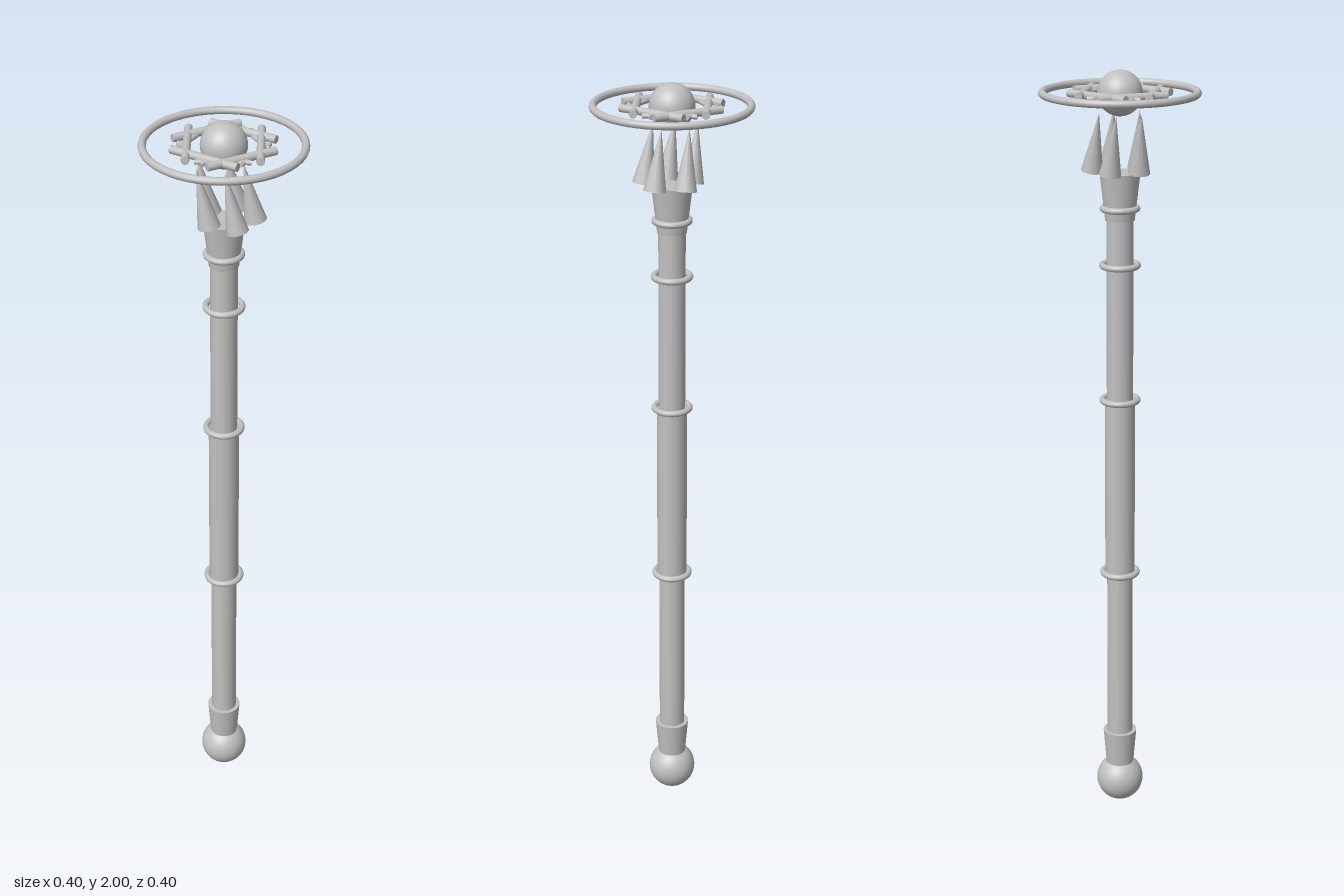
import * as THREE from 'three';

export function createModel() {
  const staff = new THREE.Group();
  staff.name = 'staff';
  const grey = new THREE.MeshStandardMaterial({ color: 0xc0c0c0 });
  grey.name = 'plain grey';

  const add = (name, geometry, y, parent = staff) => {
    const mesh = new THREE.Mesh(geometry, grey);
    mesh.name = name;
    mesh.position.y = y;
    parent.add(mesh);
    return mesh;
  };
  // Cylinder spanning from y0 to y1
  const column = (name, rTop, rBottom, y0, y1) =>
    add(name, new THREE.CylinderGeometry(rTop, rBottom, y1 - y0, 32), (y0 + y1) / 2);
  // Horizontal ring
  const ring = (name, radius, tube, y) =>
    add(name, new THREE.TorusGeometry(radius, tube, 12, 48).rotateX(Math.PI / 2), y);

  // Foot
  add('pommel', new THREE.SphereGeometry(0.063, 32, 20), 0.063);
  column('footCap', 0.045, 0.036, 0.1, 0.21);

  // Shaft and grip
  column('shaft', 0.034, 0.034, 0.1, 1.72);
  column('grip', 0.039, 0.039, 0.68, 1.16);
  for (const y of [0.68, 1.16, 1.515]) ring('band', 0.045, 0.008, y);

  // Flared head
  column('headCollar', 0.051, 0.037, 1.63, 1.75);
  ring('collarBand', 0.043, 0.008, 1.66);

  // Crown of five prongs, all leaning the same way
  for (let i = 0; i < 5; i++) {
    const a = (i / 5) * Math.PI * 2;
    const prong = add('prong', new THREE.ConeGeometry(0.028, 0.15, 12), 1.825);
    prong.position.x = 0.06 * Math.cos(a);
    prong.position.z = 0.06 * Math.sin(a);
    prong.rotation.set(-0.06 * Math.sin(a), 0, 0.2);
  }

  // Floating orb and halo
  add('orb', new THREE.SphereGeometry(0.056, 32, 20), 1.944);
  ring('halo', 0.19, 0.0095, 1.945);

  // Two hexagons of crossing rods around the orb
  const rods = (name, radius, length, thickness, y, offset) => {
    for (let i = 0; i < 6; i++) {
      const a = offset + (i / 6) * Math.PI * 2;
      const geometry = new THREE.CylinderGeometry(thickness, thickness, length, 12).rotateX(Math.PI / 2);
      const rod = add(name, geometry, y);
      rod.position.x = radius * Math.cos(a);
      rod.position.z = radius * Math.sin(a);
      rod.rotation.y = -a;
    }
  };
  rods('outerRod', 0.086, 0.18, 0.01, 1.945, 0);
  rods('innerRod', 0.085, 0.13, 0.006, 1.941, Math.PI / 6);

  return staff;
}
